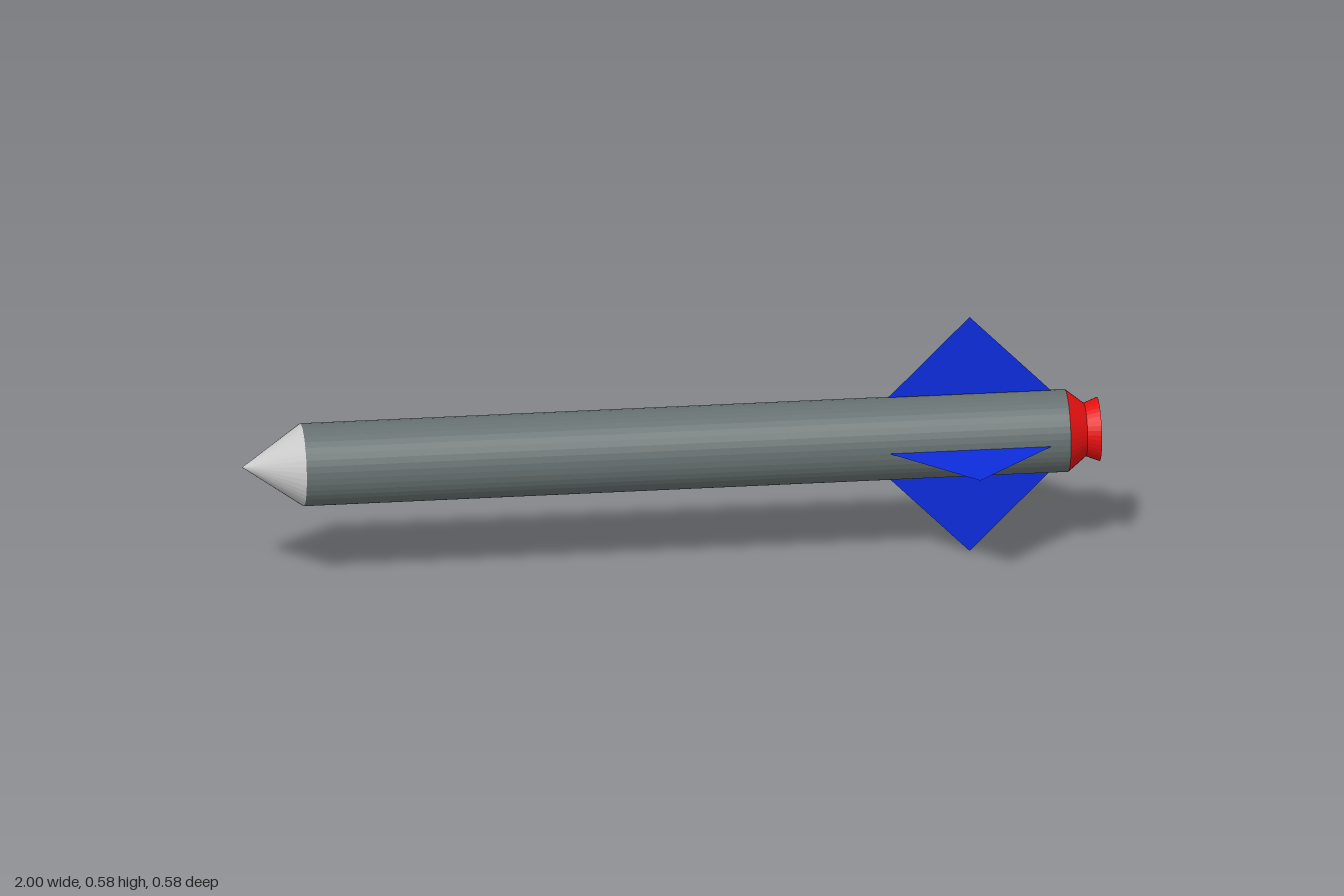
import * as THREE from 'three';

const SIDES = 40;
const AXIS_Y = 0.294; // height of the long axis
const AXIS_Z = 0.004; // the hull sits slightly forward of the fins
const R = 0.0965;     // hull radius

function material(color, side = THREE.FrontSide) {
  return new THREE.MeshStandardMaterial({ color, flatShading: true, side });
}

// A round section along x, from x0 (radius r0) to x1 (radius r1)
function section(name, x0, r0, x1, r1, mat, open = true) {
  const geo = new THREE.CylinderGeometry(r1, r0, x1 - x0, SIDES, 1, open);
  geo.rotateZ(-Math.PI / 2);
  geo.translate((x0 + x1) / 2, AXIS_Y, AXIS_Z);
  const mesh = new THREE.Mesh(geo, mat);
  mesh.name = name;
  return mesh;
}

export function createModel() {
  const model = new THREE.Group();
  model.name = 'rocket';

  const grey = material(0xcccccc);
  const hull = material(0x667070);
  const red = material(0xe61010);
  const blue = material(0x0d2cdc, THREE.DoubleSide);

  // Nose cone and long body
  model.add(section('noseCone', -1, 0, -0.86, R, grey));
  model.add(section('body', -0.86, R, 0.925, R, hull, false));

  // Nozzle: tapers to a neck, then flares to a closed end
  const nozzle = new THREE.Group();
  nozzle.name = 'nozzle';
  nozzle.add(section('nozzleTaper', 0.925, R, 0.968, 0.062, red));
  nozzle.add(section('nozzleFlare', 0.968, 0.062, 1, 0.0745, red));
  const cap = new THREE.Mesh(new THREE.CircleGeometry(0.0745, SIDES), grey);
  cap.name = 'nozzleEnd';
  cap.rotation.y = Math.PI / 2;
  cap.position.set(1, AXIS_Y, AXIS_Z);
  nozzle.add(cap);
  model.add(nozzle);

  // Four flat triangular fins around the tail
  const fin = new THREE.Shape([
    new THREE.Vector2(-0.19, 0.1),
    new THREE.Vector2(0.19, 0.1),
    new THREE.Vector2(0, 0.292),
  ]);
  const finGeo = new THREE.ShapeGeometry(fin);
  ['topFin', 'frontFin', 'bottomFin', 'backFin'].forEach((name, i) => {
    const mesh = new THREE.Mesh(finGeo, blue);
    mesh.name = name;
    mesh.rotation.x = (i * Math.PI) / 2;
    mesh.position.set(i % 2 ? 0.69 : 0.70, AXIS_Y, 0);
    model.add(mesh);
  });

  return model;
}
